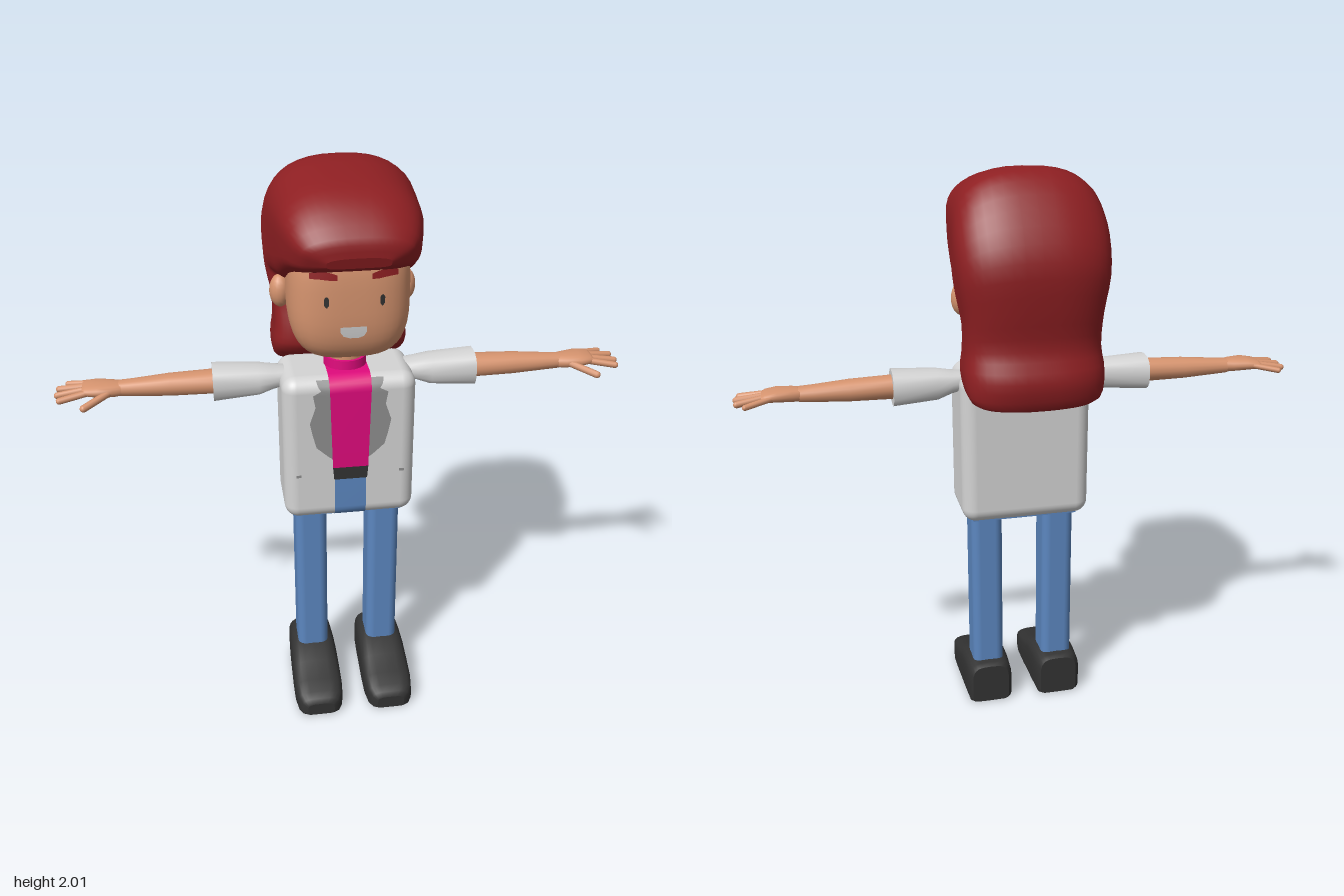
import * as THREE from 'three';
import { mergeVertices } from 'three/addons/utils/BufferGeometryUtils.js';
import { RoundedBoxGeometry } from 'three/addons/geometries/RoundedBoxGeometry.js';

const V = (x, y, z) => new THREE.Vector3(x, y, z);

function material(name, color) {
  const m = new THREE.MeshStandardMaterial({ color });
  m.name = name;
  return m;
}

// Superellipse ring around c with half axes u and v; np / nn square off the +v / -v halves
function ring(c, u, v, np = 2, nn = np, count = 24) {
  const pw = (a, n) => Math.sign(a) * Math.pow(Math.abs(a), 2 / n);
  return Array.from({ length: count }, (_, i) => {
    const t = (i / count) * Math.PI * 2, n = Math.sin(t) >= 0 ? np : nn;
    return c.clone().addScaledVector(u, pw(Math.cos(t), n)).addScaledVector(v, pw(Math.sin(t), n));
  });
}

// Closed skin through rings of equal length, with flat end caps, always wound outwards
function loft(rings) {
  const n = rings[0].length, pts = rings.flat(), idx = [];
  for (let r = 0; r < rings.length - 1; r++)
    for (let i = 0; i < n; i++) {
      const a = r * n + i, b = r * n + (i + 1) % n;
      idx.push(a, b, b + n, a, b + n, a + n);
    }
  [[rings[0], true], [rings[rings.length - 1], false]].forEach(([loop, flip]) => {
    const base = pts.length;
    pts.push(...loop, loop.reduce((s, p) => s.add(p), V(0, 0, 0)).divideScalar(n));
    for (let i = 0; i < n; i++) {
      const a = base + i, b = base + (i + 1) % n;
      idx.push(...(flip ? [b, a, base + n] : [a, b, base + n]));
    }
  });
  let volume = 0;
  for (let i = 0; i < idx.length; i += 3)
    volume += pts[idx[i]].dot(pts[idx[i + 1]].clone().cross(pts[idx[i + 2]]));
  return surface(pts, volume < 0 ? idx.reverse() : idx);
}

// Thin painted strip through rows of [left point, right point], facing the given direction
function ribbon(rows, facing = V(0, 0, 1)) {
  const pts = rows.flat(), idx = [], sum = V(0, 0, 0);
  for (let i = 0; i < rows.length - 1; i++) {
    const a = i * 2;
    idx.push(a, a + 2, a + 1, a + 1, a + 2, a + 3);
  }
  for (let i = 0; i < idx.length; i += 3) {
    const [p, q, r] = [0, 1, 2].map(k => pts[idx[i + k]]);
    sum.add(q.clone().sub(p).cross(r.clone().sub(p)));
  }
  return surface(pts, sum.dot(facing) < 0 ? idx.reverse() : idx);
}

function surface(pts, idx) {
  const g = new THREE.BufferGeometry().setFromPoints(pts);
  g.setIndex(idx);
  g.computeVertexNormals();
  return g;
}

export function createModel() {
  const model = new THREE.Group();
  model.name = 'figure';
  const skin = material('skin', 0xd6946f), red = material('hair red', 0x8e1f22);
  const white = material('jacket white', 0xd4d4d4), pink = material('shirt pink', 0xdf0a7c);
  const blue = material('denim blue', 0x5c87c0), black = material('shoe black', 0x333333);
  const grey = material('lapel grey', 0x8e8e8e), sole = material('sole red', 0x7c1216);
  const add = (name, geo, mat, x = 0, y = 0, z = 0) => {
    const m = new THREE.Mesh(geo, mat);
    m.name = name;
    m.position.set(x, y, z);
    model.add(m);
    return m;
  };

  // Head: a cube relaxed to a superellipsoid
  const HC = V(0, 1.62, 0.07), HS = V(0.2, 0.23, 0.165), HN = 3.2;
  let head = new THREE.BoxGeometry(2, 2, 2, 12, 12, 12);
  head.deleteAttribute('uv');
  head.deleteAttribute('normal');
  head = mergeVertices(head);
  const hp = head.attributes.position;
  for (let i = 0; i < hp.count; i++) {
    const p = V().fromBufferAttribute(hp, i).normalize();
    const d = Math.pow(Math.abs(p.x) ** HN + Math.abs(p.y) ** HN + Math.abs(p.z) ** HN, 1 / HN);
    p.divideScalar(d).multiply(HS);
    hp.setXYZ(i, p.x, p.y, p.z);
  }
  head.computeVertexNormals();
  add('head', head, skin, HC.x, HC.y, HC.z);
  const onFace = (x, y) => V(x, y, HC.z + 0.004 + HS.z * Math.pow(
    1 - Math.abs(x / HS.x) ** HN - Math.abs((y - HC.y) / HS.y) ** HN, 1 / HN));
  const paintFace = (name, rows, mat) =>
    add(name, ribbon(rows.map(([a, b, y]) => [onFace(a, y), onFace(b, y)])), mat);

  // Face details
  paintFace('mouth', [[-0.045, 0.04, 1.54], [-0.045, 0.04, 1.522], [-0.035, 0.032, 1.507], [-0.015, 0.015, 1.5]], white);
  for (const s of [-1, 1]) {
    const side = s > 0 ? 'left' : 'right';
    paintFace(side + 'Eye', [[0.087, 0.091, 1.645], [0.081, 0.097, 1.637], [0.081, 0.097, 1.617], [0.087, 0.091, 1.608]]
      .map(([a, b, y]) => [s * a, s * b, y]), black);
    // Brow is drawn in columns along x so that it follows the face
    add(side + 'Brow', ribbon([[0.055, 1.698, 1.715], [0.075, 1.698, 1.722], [0.11, 1.702, 1.728], [0.14, 1.702, 1.72]]
      .map(([x, lo, hi]) => [onFace(s * x, lo), onFace(s * x, hi)])), red);
    add(side + 'Ear', new THREE.SphereGeometry(1, 16, 12), skin, s * 0.212, 1.575, -0.025).scale.set(0.036, 0.057, 0.037);
  }

  // Hair: stations [outer z, outer y, inner z, inner y, half width] from fringe over the crown to the tips
  const hair = [
    [0.328, 1.80, 0.318, 1.765, 0.10], [0.318, 1.86, 0.27, 1.74, 0.175], [0.21, 1.95, 0.17, 1.70, 0.222],
    [0.06, 1.99, 0.06, 1.635, 0.24], [-0.13, 1.998, -0.03, 1.605, 0.252], [-0.24, 1.89, -0.07, 1.60, 0.258],
    [-0.315, 1.74, -0.07, 1.56, 0.25], [-0.31, 1.58, -0.055, 1.49, 0.232], [-0.295, 1.45, -0.035, 1.41, 0.23],
    [-0.328, 1.35, -0.035, 1.35, 0.238], [-0.31, 1.262, -0.11, 1.285, 0.22], [-0.28, 1.243, -0.17, 1.258, 0.15],
  ];
  const outer = new THREE.CatmullRomCurve3(hair.map(h => V(h[4], h[1], h[0])));
  const inner = new THREE.CatmullRomCurve3(hair.map(h => V(0, h[3], h[2])));
  add('hair', loft(Array.from({ length: 34 }, (_, i) => {
    const o = outer.getPoint(i / 33), n = inner.getPoint(i / 33), w = o.x;
    o.x = 0;
    return ring(o.clone().add(n).multiplyScalar(0.5), V(w, 0, 0), o.sub(n).multiplyScalar(0.5), 2.5, 5, 40);
  })), red);

  // Neck and collar
  add('neck', new THREE.CylinderGeometry(0.063, 0.063, 0.12, 20), skin, 0, 1.38, 0.025);
  add('collar', new THREE.CylinderGeometry(0.073, 0.075, 0.05, 20), pink, 0, 1.33, 0.025);

  // Jacket block with painted front following its rounded edges
  add('jacket', new RoundedBoxGeometry(0.46, 0.55, 0.26, 5, 0.05), white, 0, 1.045, 0.03);
  const onJacket = (x, y, lift = 0.003) => {
    const d = Math.max(0, y - 1.27, 0.82 - y);
    return V(x, y, 0.11 + lift + Math.sqrt(Math.max(0, 0.0025 - d * d)));
  };
  const paintJacket = (name, rows, mat, lift) =>
    add(name, ribbon(rows.map(([a, b, y]) => [onJacket(a, y, lift), onJacket(b, y, lift)])), mat);
  const shirt = [1.318, 1.31, 1.3, 1.285, 1.27, 0.98].map(y => {
    const w = 0.062 + 0.01 * (y - 0.98) / 0.34;
    return [onJacket(-w, y, 0.005), onJacket(w, y, 0.005)];
  });
  add('shirtFront', ribbon([[V(-0.072, 1.323, 0.04), V(0.072, 1.323, 0.04)], [V(-0.072, 1.323, 0.115), V(0.072, 1.323, 0.115)], ...shirt]), pink);
  paintJacket('belt', [[-0.062, 0.062, 0.982], [-0.058, 0.058, 0.935]], black, 0.006);
  paintJacket('trouserFront', [0.94, 0.82, 0.805, 0.79, 0.78, 0.773].map(y => [-0.055, 0.055, y]), blue, 0.004);
  add('trouserSeat', new THREE.BoxGeometry(0.38, 0.008, 0.18), blue, 0, 0.769, 0.03);

  for (const s of [-1, 1]) {
    const side = s > 0 ? 'left' : 'right';
    // Ragged lapel and pocket button
    paintJacket(side + 'Lapel', [[0.115, 1.312], [0.11, 1.295], [0.1, 1.28], [0.128, 1.265], [0.12, 1.22],
      [0.14, 1.16], [0.13, 1.11], [0.118, 1.065], [0.075, 1.025], [0.06, 1.015]].map(([x, y]) => [s * 0.055, s * x, y]), grey);
    paintJacket(side + 'Button', [[0.172, 0.19, 0.96], [0.172, 0.19, 0.95]].map(([a, b, y]) => [s * a, s * b, y]), grey);

    // Leg
    add(side + 'Leg', new RoundedBoxGeometry(0.115, 0.66, 0.135, 3, 0.03), blue, s * 0.133, 0.46, 0.037);

    // Shoe: stations [z, half width, height] from heel to toe, with a painted sole
    const shoe = [[-0.06, 0.07, 0.15], [-0.05, 0.082, 0.165], [0.03, 0.086, 0.168], [0.1, 0.088, 0.16], [0.17, 0.09, 0.128],
      [0.25, 0.09, 0.1], [0.3, 0.083, 0.085], [0.322, 0.07, 0.07], [0.33, 0.05, 0.05]];
    add(side + 'Shoe', loft(shoe.map(([z, w, h]) =>
      ring(V(s * 0.133, h / 2 + 0.002, z), V(w, 0, 0), V(0, h / 2, 0), 3.5, 9))), black);
    add(side + 'Sole', ribbon(shoe.map(([z, w]) =>
      [V(s * 0.133 - w * 0.93, 0, z), V(s * 0.133 + w * 0.93, 0, z)]), V(0, -1, 0)), sole);

    // Arm: stations [x, y, half height, half depth, z]
    const limb = (name, mat, rows, n, count) => add(side + name, loft(rows.map(([x, y, h, d, z]) =>
      ring(V(s * x, y, z), V(0, 0, d), V(0, h, 0), n, n, count))), mat);
    limb('Sleeve', white, [[0.2, 1.28, 0.03, 0.045, 0.01], [0.25, 1.277, 0.038, 0.055, 0.01], [0.3, 1.272, 0.052, 0.062, 0.01],
      [0.455, 1.27, 0.062, 0.07, 0.01]], 2.6, 16);
    limb('Forearm', skin, [[0.44, 1.272, 0.041, 0.048, 0.01], [0.6, 1.27, 0.037, 0.045, 0.01], [0.72, 1.268, 0.029, 0.036, 0.01],
      [0.77, 1.268, 0.026, 0.034, 0.01]], 2.2, 16);
    limb('Palm', skin, [[0.75, 1.268, 0.022, 0.03, 0.01], [0.79, 1.27, 0.024, 0.042, 0.012], [0.84, 1.273, 0.022, 0.053, 0.01],
      [0.88, 1.272, 0.017, 0.05, 0.003], [0.892, 1.271, 0.01, 0.042, 0]], 2.5, 16);
    // Fingers and thumb: [base x, base z, tip x, tip y, tip z, radius]
    [[0.86, -0.035, 0.945, 1.258, -0.068, 0.01], [0.87, -0.012, 0.972, 1.258, -0.03, 0.0115], [0.87, 0.012, 0.975, 1.258, 0.018, 0.0115],
      [0.86, 0.035, 0.965, 1.258, 0.06, 0.0115], [0.79, 0.035, 0.885, 1.245, 0.102, 0.0125]].forEach(([bx, bz, tx, ty, tz, r], i) => {
      const a = V(s * bx, 1.272, bz), b = V(s * tx, ty, tz), dir = b.clone().sub(a);
      const c = a.clone().add(b).multiplyScalar(0.5);
      const f = add(side + (i < 4 ? 'Finger' + (i + 1) : 'Thumb'), new THREE.CapsuleGeometry(r, dir.length(), 4, 10), skin, c.x, c.y, c.z);
      f.quaternion.setFromUnitVectors(V(0, 1, 0), dir.normalize());
    });
  }
  return model;
}
